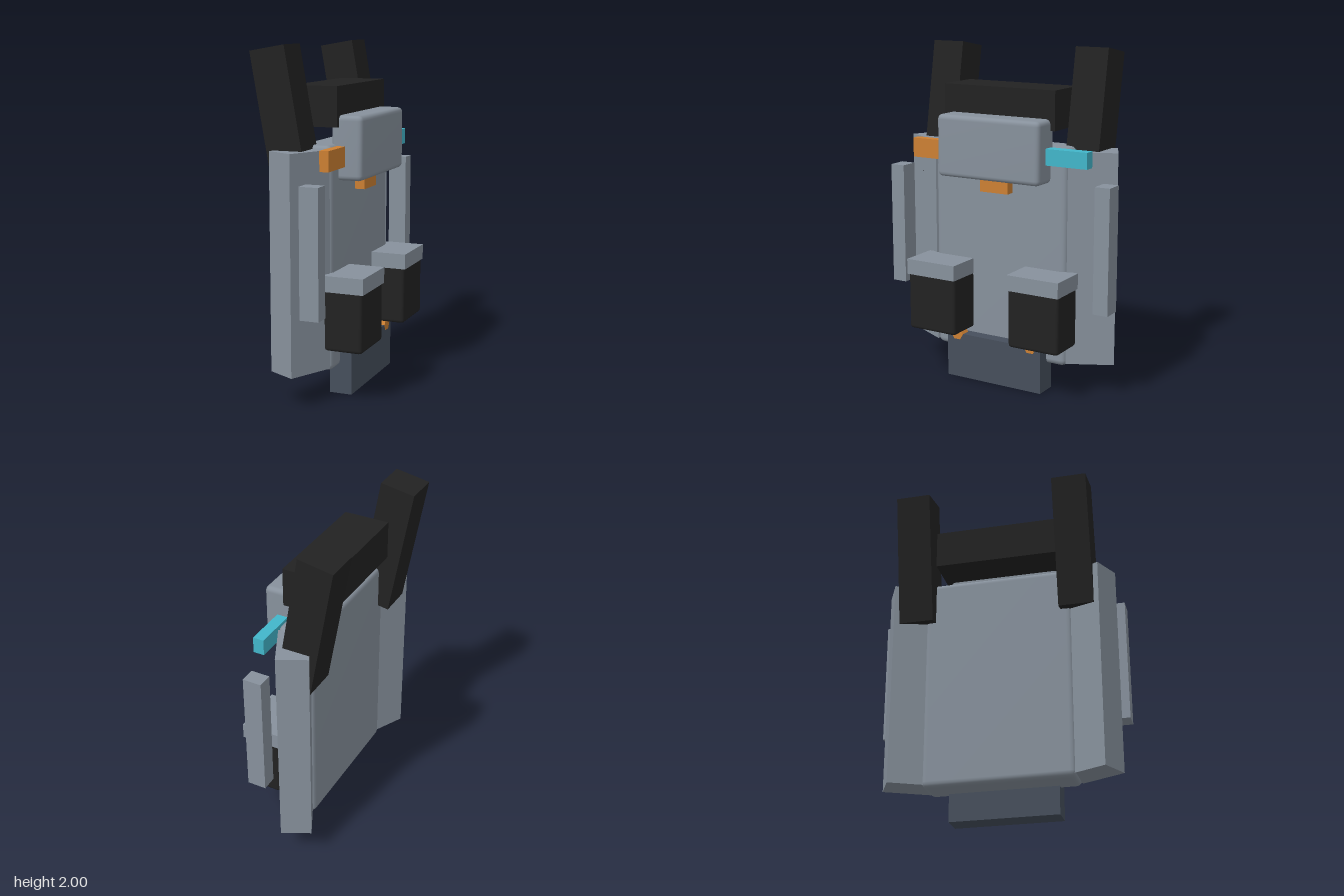
import * as THREE from 'three';
import { RoundedBoxGeometry } from 'three/addons/geometries/RoundedBoxGeometry.js';
import { mergeVertices } from 'three/addons/utils/BufferGeometryUtils.js';

const material = (name, color) => {
  const m = new THREE.MeshStandardMaterial({ color });
  m.name = name;
  return m;
};

export function createModel() {
  const grey = material('armourGrey', 0x87919c);
  const black = material('matteBlack', 0x222222);
  const slate = material('slateBlue', 0x464f5c);
  const orange = material('orange', 0xcc8033);
  const cyan = material('cyan', 0x42b6ca);

  const model = new THREE.Group();
  model.name = 'backpack';

  const add = (name, geometry, mat, x, y, z) => {
    const mesh = new THREE.Mesh(geometry, mat);
    mesh.name = name;
    mesh.position.set(x, y, z);
    model.add(mesh);
    return mesh;
  };

  // Sharp box from its lower and upper corners
  const box = (name, mat, [x0, y0, z0], [x1, y1, z1]) =>
    add(name, new THREE.BoxGeometry(x1 - x0, y1 - y0, z1 - z0), mat,
      (x0 + x1) / 2, (y0 + y1) / 2, (z0 + z1) / 2);

  // Bevelled box with normals blended over the edges
  const softBox = (name, mat, radius, [x0, y0, z0], [x1, y1, z1]) => {
    let g = new RoundedBoxGeometry(x1 - x0, y1 - y0, z1 - z0, 2, radius);
    g.deleteAttribute('normal');
    g.deleteAttribute('uv');
    g = mergeVertices(g, 1e-4);
    g.computeVertexNormals();
    return add(name, g, mat, (x0 + x1) / 2, (y0 + y1) / 2, (z0 + z1) / 2);
  };

  // Main shell and the raised upper pack
  softBox('mainBody', grey, 0.035, [-0.115, 0.165, -0.445], [0.1, 1.45, 0.445]);
  softBox('upperPack', grey, 0.03, [0.055, 1.245, -0.34], [0.24, 1.61, 0.34]);

  // Crossbar behind the upper pack and slab at the foot
  box('topCrossbar', black, [-0.172, 1.545, -0.368], [0.103, 1.773, 0.368]);
  box('baseSlab', slate, [0.037, 0, -0.322], [0.172, 0.275, 0.322]);

  // Coloured fittings around the upper pack
  box('centreLatch', orange, [0.08, 1.165, -0.093], [0.16, 1.26, 0.093]);
  box('orangeSideFitting', orange, [0.087, 1.325, 0.32], [0.14, 1.44, 0.575]);
  box('cyanSideFitting', cyan, [0.095, 1.358, -0.6], [0.16, 1.452, -0.32]);

  // Parts repeated on both sides
  for (const [side, s] of [['left', 1], ['right', -1]]) {
    // Angled wing panel
    const wing = add(side + 'WingPanel', new THREE.BoxGeometry(0.18, 1.245, 0.28), grey,
      -0.05, 0.808, s * 0.5325);
    wing.rotation.y = -s * THREE.MathUtils.degToRad(26.5);

    // Shoulder post leaning backward
    const post = add(side + 'ShoulderPost', new THREE.BoxGeometry(0.209, 0.8, 0.207), black,
      -0.147, 1.591, s * 0.483);
    post.rotation.z = THREE.MathUtils.degToRad(10);

    // Slender outer bar
    const zBar = s * 0.691;
    box(side + 'OuterBar', grey, [0.038, 0.535, zBar - 0.046], [0.15, 1.265, zBar + 0.046]);

    // Pouch with lid
    const zPouch = s * 0.345;
    softBox(side + 'Pouch', black, 0.02,
      [0.08, 0.305, zPouch - 0.163], [0.308, 0.7, zPouch + 0.163]);
    box(side + 'PouchLid', grey,
      [0.076, 0.645, zPouch - 0.166], [0.316, 0.737, zPouch + 0.166]);

    // Hexagonal stud under the pouch, corners pointing sideways
    const hex = new THREE.CylinderGeometry(0.042, 0.042, 0.056, 6).toNonIndexed();
    hex.computeVertexNormals();
    const stud = add(side + 'Stud', hex, orange, 0.147, 0.275, s * 0.253);
    stud.rotation.z = Math.PI / 2;
  }

  return model;
}
